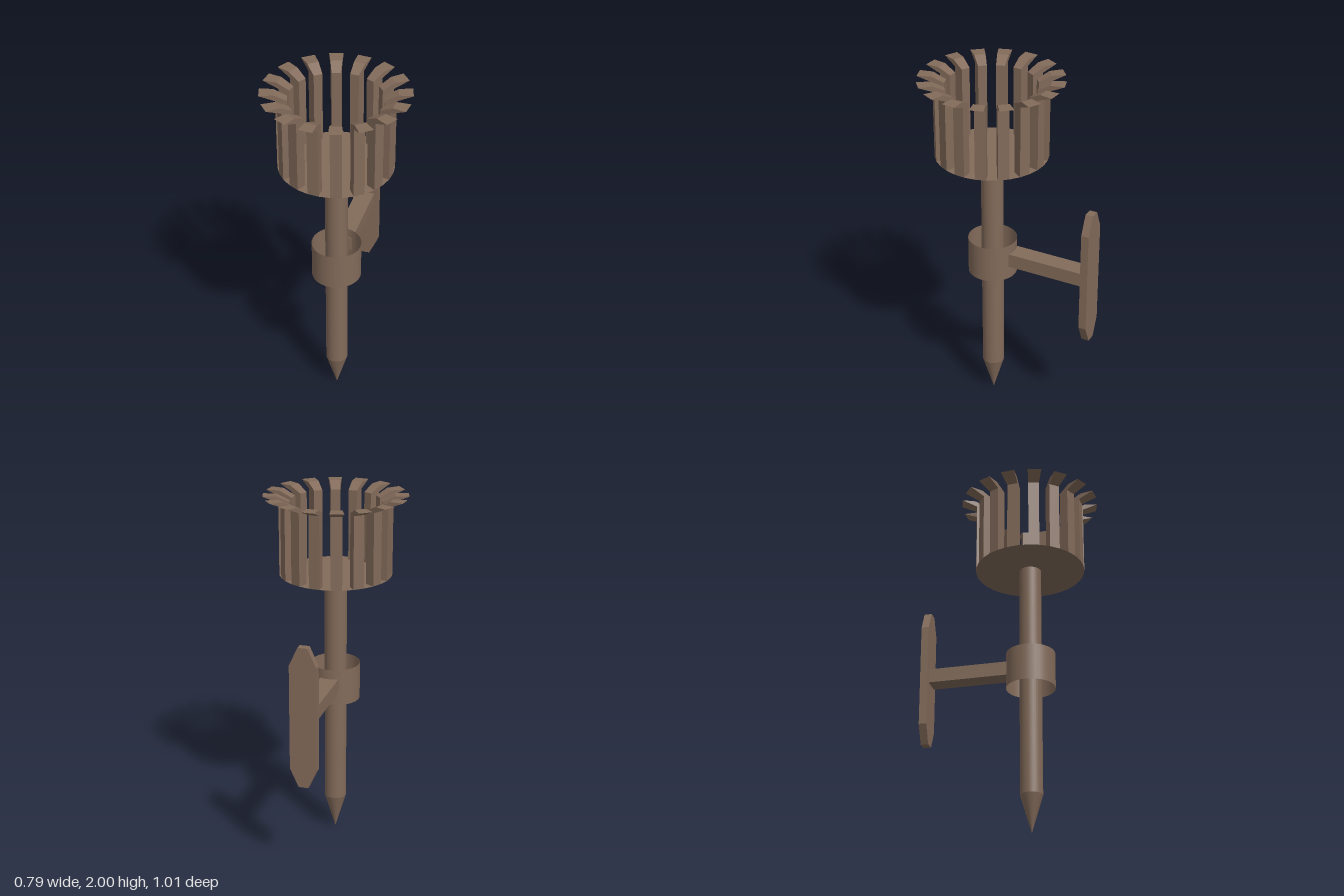
import * as THREE from 'three';
import { mergeGeometries } from 'three/addons/utils/BufferGeometryUtils.js';

const AXIS_Z = 0.11; // the torch stands in front of its wall plate
const SLATS = 16;

export function createModel() {
  const group = new THREE.Group();
  const wood = new THREE.MeshStandardMaterial({ color: 0x836b5a });
  wood.name = 'brownWood';
  const woodSheet = new THREE.MeshStandardMaterial({ color: 0x836b5a, side: THREE.DoubleSide });
  woodSheet.name = 'brownWoodSheet';

  const add = (name, geometry, material, x, y, z) => {
    const mesh = new THREE.Mesh(geometry, material);
    mesh.name = name;
    mesh.position.set(x, y, z);
    group.add(mesh);
    return mesh;
  };

  // Shaft with its pointed foot
  add('shaft', new THREE.CylinderGeometry(0.062, 0.062, 1.35, 32), wood, 0, 0.885, AXIS_Z);
  add('point', new THREE.CylinderGeometry(0.062, 0, 0.21, 32, 1, true), wood, 0, 0.105, AXIS_Z);

  // Open holder ring around the shaft
  add('holderRing', new THREE.CylinderGeometry(0.137, 0.137, 0.21, 32, 1, true), woodSheet, 0, 0.935, AXIS_Z);

  // Bowl floor
  const floor = add('bowlFloor', new THREE.CircleGeometry(0.31, 32), woodSheet, 0, 1.562, AXIS_Z);
  floor.rotation.x = -Math.PI / 2;

  // Bowl slats: a profile with a flared lip, swept through one wedge each
  const profile = new THREE.Shape([
    [0.25, 1.562], [0.31, 1.562], [0.31, 1.965], [0.395, 2], [0.32, 2], [0.25, 1.965],
  ].map(([r, y]) => new THREE.Vector2(r, y)));
  const wedge = Math.PI / SLATS;
  const slats = [];
  for (let i = 0; i < SLATS; i++) {
    const slat = new THREE.ExtrudeGeometry(profile, { depth: 1, bevelEnabled: false });
    const p = slat.attributes.position;
    for (let v = 0; v < p.count; v++) {
      const r = p.getX(v);
      const a = (2 * i + p.getZ(v)) * wedge;
      p.setXYZ(v, r * Math.cos(a), p.getY(v), r * Math.sin(a));
    }
    slat.computeVertexNormals();
    slats.push(slat);
  }
  add('bowlSlats', mergeGeometries(slats), wood, 0, 0, AXIS_Z);

  // Arm from the ring to the wall plate
  add('arm', new THREE.BoxGeometry(0.104, 0.08, 0.455), wood, 0, 0.945, -0.2425);

  // Wall plate with clipped corners
  const plate = new THREE.Shape([
    [-0.027, -0.4], [0.027, -0.4], [0.075, -0.295], [0.075, 0.295],
    [0.027, 0.4], [-0.027, 0.4], [-0.075, 0.295], [-0.075, -0.295],
  ].map(([x, y]) => new THREE.Vector2(x, y)));
  add('wallPlate', new THREE.ExtrudeGeometry(plate, { depth: 0.043, bevelEnabled: false }), wood, 0, 0.945, -0.506);

  return group;
}
